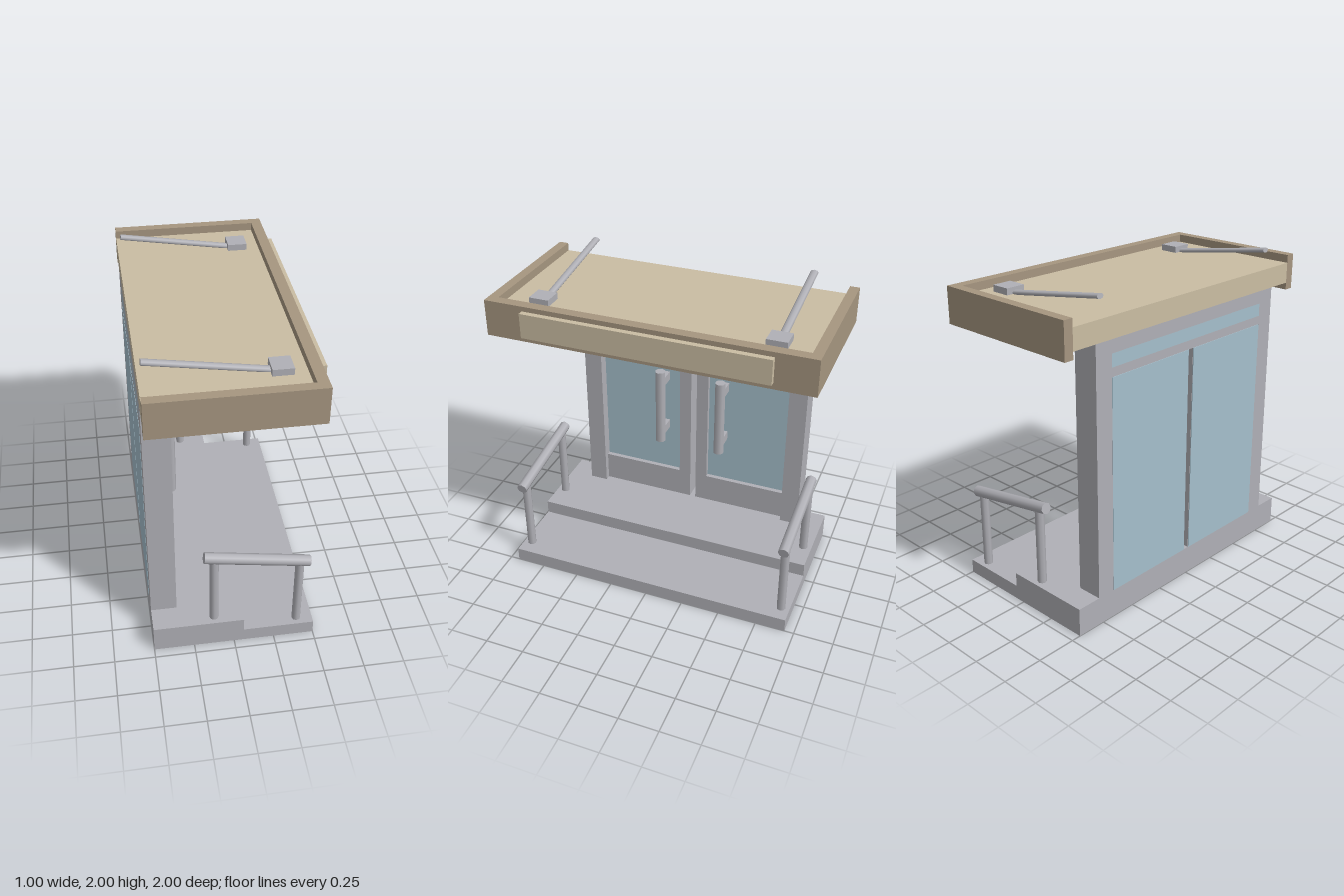
import * as THREE from 'three';

const material = (name, color) => {
  const m = new THREE.MeshStandardMaterial({ color });
  m.name = name;
  return m;
};

export function createModel() {
  const grey = material('grey metal', 0xb0b0b6);
  const glass = material('pale blue glass', 0xa5bfcc);
  const beige = material('beige panel', 0xcabda3);
  const brown = material('brown trim', 0xa69680);

  const model = new THREE.Group();
  model.name = 'entrancePorch';

  // Box given by its extents on each axis
  const box = (name, mat, [x0, x1], [y0, y1], [z0, z1], parent = model) => {
    const mesh = new THREE.Mesh(new THREE.BoxGeometry(x1 - x0, y1 - y0, z1 - z0), mat);
    mesh.position.set((x0 + x1) / 2, (y0 + y1) / 2, (z0 + z1) / 2);
    mesh.name = name;
    parent.add(mesh);
    return mesh;
  };

  // Round bar between two points; flat squashes its height
  const bar = (name, mat, from, to, radius, parent = model, flat = 1) => {
    const a = new THREE.Vector3(...from), b = new THREE.Vector3(...to);
    const dir = b.clone().sub(a);
    const mesh = new THREE.Mesh(new THREE.CylinderGeometry(radius, radius, dir.length(), 8), mat);
    mesh.scale.x = flat;
    mesh.position.copy(a).add(b).multiplyScalar(0.5);
    mesh.quaternion.setFromUnitVectors(new THREE.Vector3(0, 1, 0), dir.normalize());
    mesh.name = name;
    parent.add(mesh);
    return mesh;
  };

  // Steps
  box('lowerStep', grey, [0.06, 0.5], [0, 0.09], [-0.94, 0.94]);
  box('upperStep', grey, [-0.5, 0.06], [0, 0.18], [-0.94, 0.94]);

  // Door surround with transom window
  const wall = new THREE.Group();
  wall.name = 'doorSurround';
  model.add(wall);
  box('transomBar', grey, [-0.5, -0.34], [1.525, 1.58], [-0.66, 0.66], wall);
  box('header', grey, [-0.5, -0.34], [1.66, 1.75], [-0.66, 0.66], wall);
  box('transomGlass', glass, [-0.5, -0.41], [1.58, 1.66], [-0.66, 0.66], wall);

  // Roof slab with a raised rim on three sides
  const roof = new THREE.Group();
  roof.name = 'canopy';
  model.add(roof);
  box('roofSlab', beige, [-0.5, 0.4], [1.74, 1.87], [-0.94, 0.94], roof);
  box('frontRim', brown, [0.4, 0.465], [1.695, 1.92], [-1, 1], roof);
  box('signPanel', beige, [0.465, 0.5], [1.735, 1.89], [-0.755, 0.755], roof);

  for (const s of [1, -1]) {
    const span = (a, b) => (s > 0 ? [a, b] : [-b, -a]);

    box('sidePost', grey, [-0.5, -0.34], [0.18, 1.75], span(0.66, 0.78), wall);
    box('sideRim', brown, [-0.5, 0.4], [1.695, 1.92], span(0.94, 1), roof);

    // Door leaf
    const door = new THREE.Group();
    door.name = s > 0 ? 'doorPlusZ' : 'doorMinusZ';
    model.add(door);
    box('doorStile', grey, [-0.498, -0.38], [0.18, 1.525], span(0.02, 0.1), door);
    box('doorTopRail', grey, [-0.498, -0.38], [1.44, 1.525], span(0.1, 0.66), door);
    box('doorBottomRail', grey, [-0.498, -0.38], [0.18, 0.38], span(0.1, 0.66), door);
    box('doorGlass', glass, [-0.502, -0.41], [0.18, 1.524], span(0.022, 0.66), door);

    // Pull handle
    bar('pullHandle', grey, [-0.3, 0.665, s * 0.21], [-0.3, 1.205, s * 0.21], 0.035, door);
    for (const y of [0.74, 1.12])
      box('handleBracket', grey, [-0.415, -0.3], [y - 0.03, y + 0.03], span(0.185, 0.235), door);

    // Handrail
    const rail = new THREE.Group();
    rail.name = 'handrail';
    model.add(rail);
    const z = s * 0.885;
    bar('railPost', grey, [-0.12, 0.18, z], [-0.12, 0.67, z], 0.028, rail);
    bar('railPost', grey, [0.4, 0.09, z], [0.4, 0.58, z], 0.028, rail);
    bar('handrailBar', grey, [-0.18, 0.695, z], [0.46, 0.582, z], 0.035, rail);

    // Tie rod and its anchor on the roof
    box('rodAnchor', grey, [0.2, 0.32], [1.87, 1.91], span(0.66, 0.785), roof);
    bar('tieRod', grey, [-0.48, 1.985, s * 0.722], [0.24, 1.87, s * 0.722], 0.025, roof, 0.62);

    // Ceiling light
    const light = new THREE.Mesh(
      new THREE.CylinderGeometry(0.11, 0.095, 0.055, 8).toNonIndexed(), beige);
    light.geometry.computeVertexNormals();
    light.position.set(0.12, 1.715, s * 0.4);
    light.name = 'ceilingLight';
    roof.add(light);
  }
  return model;
}
